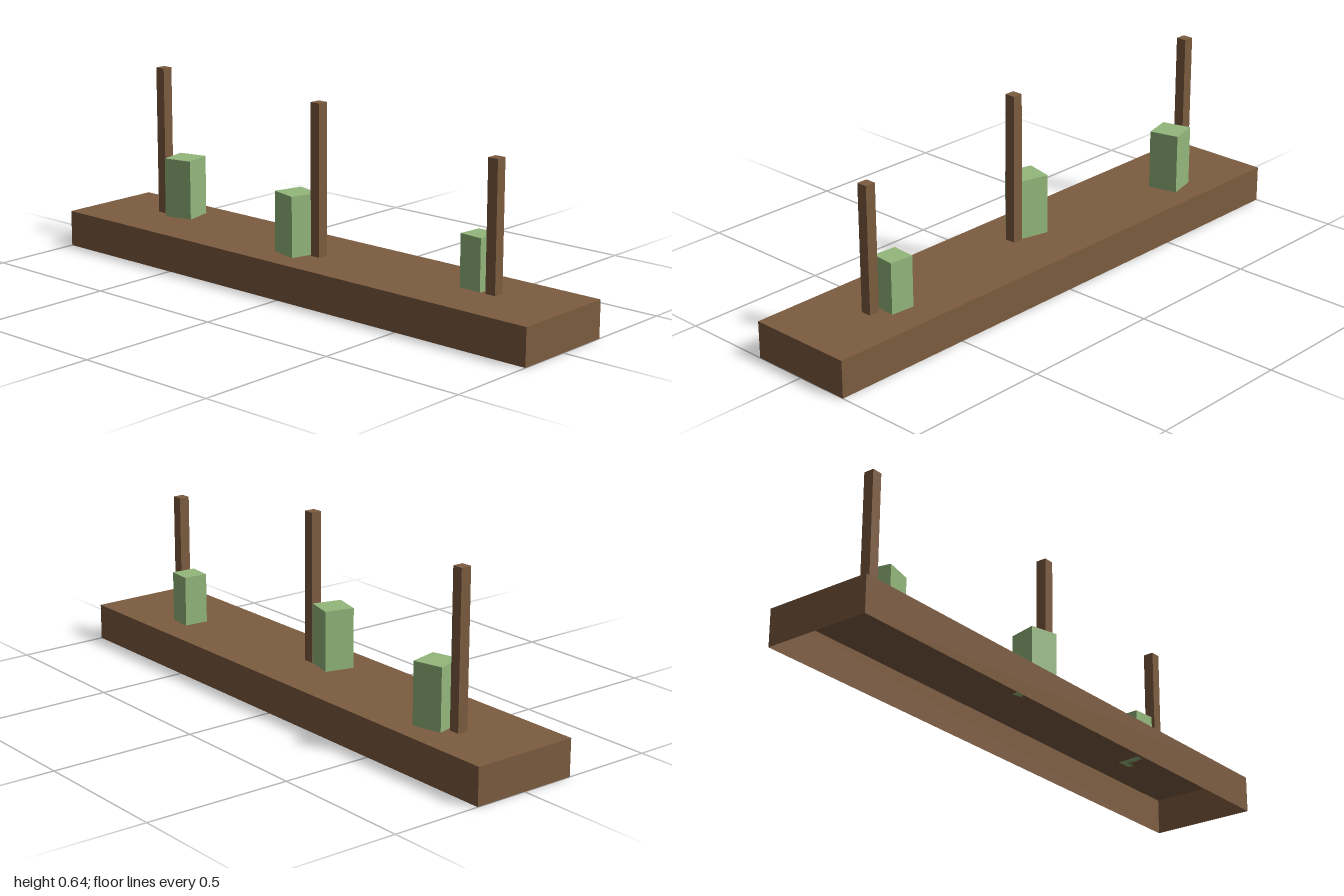
import * as THREE from 'three';

const BASE_H = 0.125;

export function createModel() {
  const model = new THREE.Group();
  model.name = 'plantingTrough';

  const wood = new THREE.MeshStandardMaterial({ color: 0x7d5c40, side: THREE.DoubleSide });
  wood.name = 'brown wood';
  const leaf = new THREE.MeshStandardMaterial({ color: 0x94b87c });
  leaf.name = 'leaf green';

  function add(name, geometry, material, x, y, z, angle = 0) {
    const mesh = new THREE.Mesh(geometry, material);
    mesh.name = name;
    mesh.position.set(x, y, z);
    mesh.rotation.y = THREE.MathUtils.degToRad(angle);
    model.add(mesh);
  }

  // Thin-walled base, open underneath: a box without its bottom face
  const shell = new THREE.BoxGeometry(2, BASE_H, 0.374);
  const index = Array.from(shell.index.array);
  index.splice(18, 6);
  shell.setIndex(index);
  shell.clearGroups();
  add('base', shell, wood, 0, BASE_H / 2, 0);

  // Upright stakes: x, z, top height
  const stakes = [
    [-0.747, -0.036, 0.642],
    [0.04, 0.028, 0.636],
    [0.725, -0.0155, 0.554],
  ];
  stakes.forEach(([x, z, top], i) => {
    const h = top - BASE_H;
    add(`stake${i + 1}`, new THREE.BoxGeometry(0.037, h, 0.037), wood, x, BASE_H + h / 2, z);
  });

  // Turned plant blocks: x, z, top height, width, angle in degrees
  const plants = [
    [-0.664, -0.052, 0.332, 0.103, 14],
    [-0.041, 0.048, 0.33, 0.101, -14],
    [0.648, -0.04, 0.298, 0.084, -4.5],
  ];
  plants.forEach(([x, z, top, w, angle], i) => {
    const h = top - BASE_H;
    add(`plant${i + 1}`, new THREE.BoxGeometry(w, h, w), leaf, x, BASE_H + h / 2, z, angle);
  });

  return model;
}
